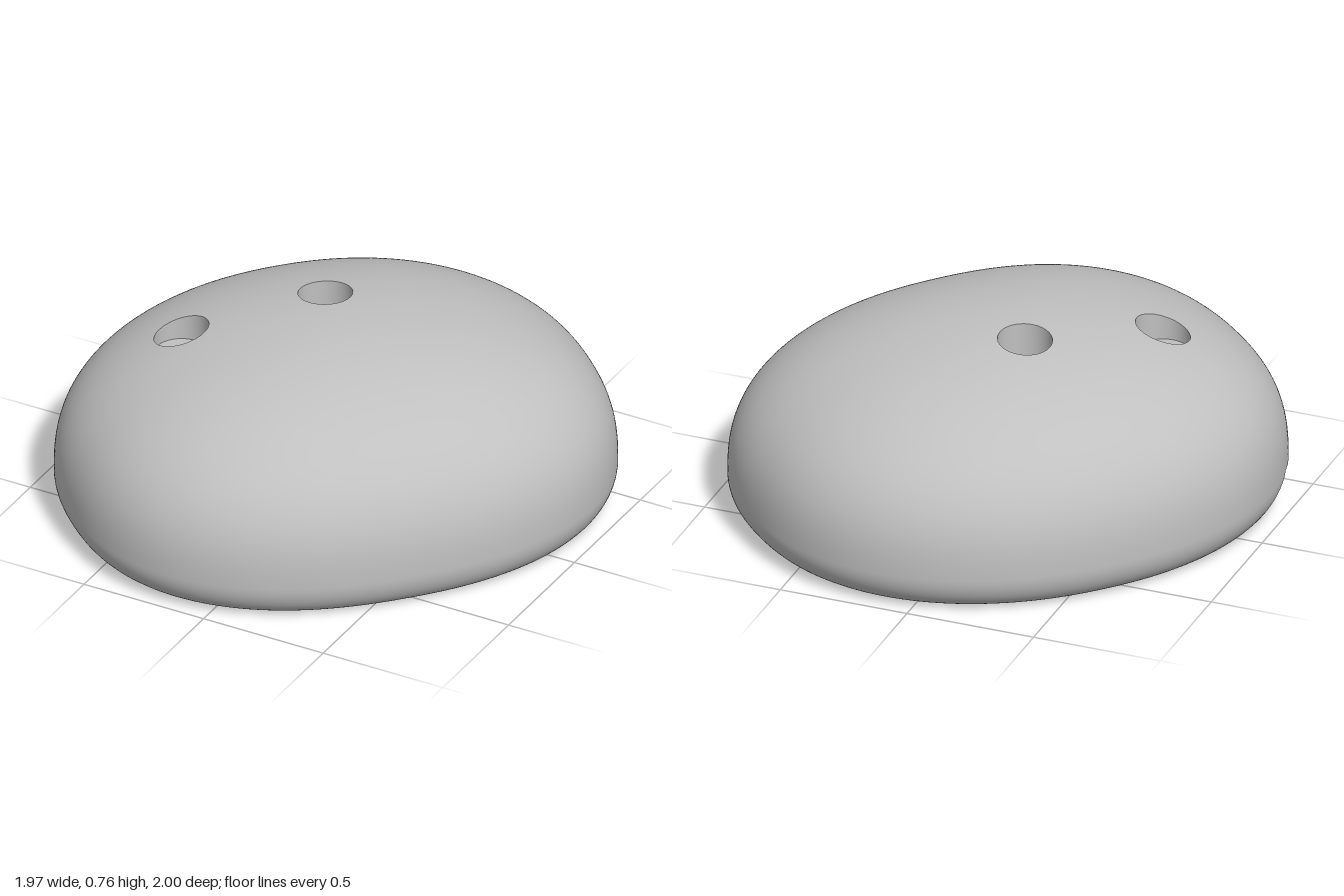
import * as THREE from 'three';

const RIM = 0.14, HEIGHT = 0.76;          // widest level and crown
const CEILING = 0.45, SHELF = 0.18, SEAT = 0.58;
const BORE = 0.101, DRILL = 0.047;
const holes = [[-0.125, -0.152], [-0.513, 0.237]];

// Turned frames: s across, t along -> (x, z)
const turned = (degrees) => {
  const sin = Math.sin(degrees * Math.PI / 180), cos = Math.cos(degrees * Math.PI / 180);
  return {
    out: (s, t) => [cos * t - sin * s, -cos * s - sin * t],
    back: ([x, z]) => [-sin * x - cos * z, cos * x - sin * z],
  };
};
const bodyFrame = turned(47.7), pocketFrame = turned(45);

// Body outline: superellipse, slightly flatter on one long side
const LENGTH = 1.034;
const side = (s) => (s > 0 ? { width: 0.898, power: 2.15 } : { width: 0.857, power: 2.3 });
const norm = (u, v, p) => Math.pow(Math.pow(Math.abs(u), p) + Math.pow(Math.abs(v), p), 1 / p);
const toPlan = (r, angle) => {
  const u = Math.cos(angle), v = Math.sin(angle), { width, power } = side(u);
  const k = r / norm(u, v, power);
  return bodyFrame.out(k * u * width, k * v * LENGTH);
};
const radius = (p) => {
  const [s, t] = bodyFrame.back(p), { width, power } = side(s);
  return Math.min(1, norm(s / width, t / LENGTH, power));
};
const topY = (p) => RIM + (HEIGHT - RIM) * Math.pow(Math.max(0, 1 - radius(p) ** 2), 1 / 2.55);
const bottomY = (p) => {
  const k = Math.max(0, (radius(p) - 0.88) / 0.12);
  return RIM * (1 - Math.sqrt(Math.max(0, 1 - k * k)));
};

const circle = ([x, z], r, n, start = 0) => Array.from({ length: n }, (_, i) => {
  const t = start + (i / n) * Math.PI * 2;
  return [x + r * Math.cos(t), z + r * Math.sin(t)];
});

function pocketOutline() {
  const s = new THREE.Shape();
  const l = -0.5, r = 0.51, f = -0.86, n = 0.6;
  const corner = (a, b, rad, q) => s.absarc(a, b, rad, q * Math.PI / 2, (q + 1) * Math.PI / 2, false);
  s.moveTo(l + 0.04, n);
  corner(l + 0.04, n - 0.04, 0.04, 1);
  corner(l + 0.2, f + 0.2, 0.2, 2);
  corner(r - 0.25, f + 0.25, 0.25, 3);
  corner(r - 0.25, n - 0.25, 0.25, 0);
  s.closePath();
  return s.getSpacedPoints(480).slice(0, -1).map((p) => pocketFrame.out(p.x, p.y));
}

function insidePolygon([x, z], pts) {
  let inside = false;
  for (let i = 0, j = pts.length - 1; i < pts.length; j = i++) {
    const [xi, zi] = pts[i], [xj, zj] = pts[j];
    if ((zi > z) !== (zj > z) && x < ((xj - xi) * (z - zi)) / (zj - zi) + xi) inside = !inside;
  }
  return inside;
}

function nearest(p, pts) {
  let best = pts[0], d = Infinity;
  for (const q of pts) {
    const e = (q[0] - p[0]) ** 2 + (q[1] - p[1]) ** 2;
    if (e < d) { d = e; best = q; }
  }
  return best;
}

function makeGeometry(pos, index) {
  const g = new THREE.BufferGeometry();
  g.setAttribute('position', new THREE.Float32BufferAttribute(pos, 3));
  g.setIndex(index);
  g.computeVertexNormals();
  return g;
}

// Upright wall along an outline, facing its inside
function wall(pts, low, high, closed = true) {
  const pos = [], index = [], n = pts.length;
  pts.forEach((p) => pos.push(p[0], low(p), p[1], p[0], high(p), p[1]));
  for (let i = 0; i < (closed ? n : n - 1); i++) {
    const a = 2 * i, b = 2 * ((i + 1) % n);
    index.push(a, b, a + 1, b, b + 1, a + 1);
  }
  return makeGeometry(pos, index);
}

// Level face looking down
function ceiling(outline, openings, y) {
  const vec = (pts) => pts.map(([x, z]) => new THREE.Vector2(x, z));
  const shape = new THREE.Shape(vec(outline));
  openings.forEach((o) => shape.holes.push(new THREE.Path(vec(o))));
  const flat = new THREE.ShapeGeometry(shape);
  const p = flat.attributes.position, pos = [];
  for (let i = 0; i < p.count; i++) pos.push(p.getX(i), y, p.getY(i));
  return makeGeometry(pos, Array.from(flat.index.array));
}

// Closed skin of rings from crown to base; vertices inside a cut slide to its edge
function skin(topCut, bottomCut) {
  const rings = [], DOME = 72, FILLET = 14, FLAT = 60, N = 240;
  for (let i = 0; i <= DOME; i++) rings.push([Math.sin((i / DOME) * Math.PI / 2), true]);
  for (let i = FILLET - 1; i >= 0; i--) rings.push([0.88 + 0.12 * Math.sin((i / FILLET) * Math.PI / 2), false]);
  for (let i = FLAT - 1; i >= 0; i--) rings.push([(0.88 * i) / FLAT, false]);
  const pos = [], cutAway = [], index = [];
  rings.forEach(([r, isTop]) => {
    const cut = isTop ? topCut : bottomCut;
    for (let j = 0; j < N; j++) {
      let p = toPlan(r, (j / N) * Math.PI * 2);
      const gone = r < 0.9999 && cut.inside(p);
      if (gone) p = nearest(p, cut.edge);
      cutAway.push(gone);
      pos.push(p[0], isTop ? topY(p) : bottomY(p), p[1]);
    }
  });
  const tri = (a, b, c) => { if (!(cutAway[a] && cutAway[b] && cutAway[c])) index.push(a, b, c); };
  for (let i = 0; i < rings.length - 1; i++) {
    for (let j = 0; j < N; j++) {
      const k = (j + 1) % N, a = i * N + j, b = i * N + k;
      tri(a, b, a + N);
      tri(b, b + N, a + N);
    }
  }
  return makeGeometry(pos, index);
}

export function createModel() {
  const group = new THREE.Group();
  const grey = new THREE.MeshStandardMaterial({ color: 0xc0c0c0 });
  grey.name = 'grey';
  const add = (name, geometry) => {
    const m = new THREE.Mesh(geometry, grey);
    m.name = name;
    group.add(m);
    return m;
  };

  // Outlines of the underside pocket and the round shelf that overlaps it
  const pocket = pocketOutline();
  const centre = holes[1], shelfR = 0.46;
  const inShelf = (p) => Math.hypot(p[0] - centre[0], p[1] - centre[1]) < shelfR;
  const inPocket = (p) => insidePolygon(p, pocket);
  const start = -Math.PI / 4;               // begins well inside the pocket
  const arc = circle(centre, shelfR, 360, start).filter((p) => !inPocket(p));
  const overlap = pocket.filter(inShelf);
  const underside = [...arc, ...pocket.filter((p) => !inShelf(p))];

  // Domed body
  const bores = holes.map((h) => circle(h, BORE, 64));
  add('body', skin(
    { inside: (p) => holes.some((h) => Math.hypot(p[0] - h[0], p[1] - h[1]) < BORE), edge: bores.flat() },
    { inside: (p) => inShelf(p) || inPocket(p), edge: underside },
  ));

  // Underside pocket and shelf
  const drills = holes.map((h) => circle(h, DRILL, 40));
  add('pocketWall', wall(pocket, (p) => (inShelf(p) ? SHELF : bottomY(p)), () => CEILING));
  add('pocketCeiling', ceiling(pocket, drills, CEILING));
  add('shelfWall', wall(arc, bottomY, () => SHELF, false));
  add('shelfCeiling', ceiling([...arc, ...overlap.reverse()], [], SHELF));

  // Counterbored screw holes
  holes.forEach(([x, z], i) => {
    add('counterbore', wall(bores[i], () => SEAT, topY));
    add('screwHole', wall(drills[i], () => CEILING, () => SEAT));
    const seat = add('screwSeat', new THREE.RingGeometry(DRILL, BORE, 64).rotateX(-Math.PI / 2));
    seat.position.set(x, SEAT, z);
  });
  return group;
}
